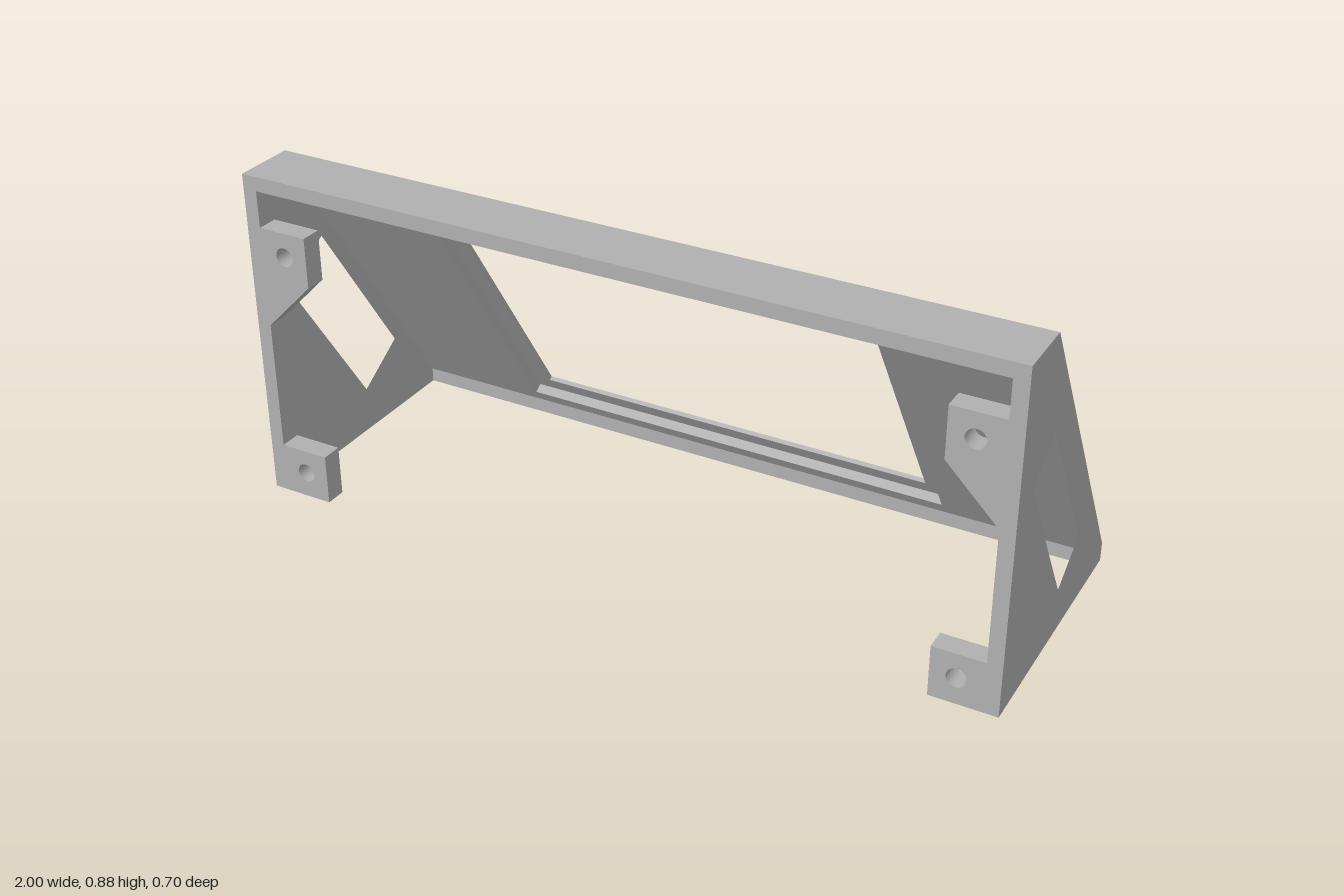
import * as THREE from 'three';

const WALL = 0.038;            // shell thickness
const INNER = 1 - WALL;        // inside face of the side walls
const LIP = 0.012;             // thin edge around the screen window

const grey = new THREE.MeshStandardMaterial({ color: 0xb0b0b0 });
grey.name = 'grey plastic';

const points = (list) => list.map(([x, y]) => new THREE.Vector2(x, y));
const rect = (x, y0, y1) => [[-x, y0], [x, y0], [x, y1], [-x, y1]];

// Extrude an outline with optional polygon holes along local +z
function plate(outline, depth, holes = []) {
  const shape = new THREE.Shape(points(outline));
  for (const h of holes) shape.holes.push(new THREE.Path(points(h)));
  return new THREE.ExtrudeGeometry(shape, { depth, bevelEnabled: false, curveSegments: 24 });
}

// Extrude a [z, y] profile along x, starting at x0
function profile(outline, x0, width, holes = []) {
  const flip = (list) => list.map(([z, y]) => [-z, y]);
  return plate(flip(outline), width, holes.map(flip)).rotateY(Math.PI / 2).translate(x0, 0, 0);
}

export function createModel() {
  const group = new THREE.Group();
  const add = (name, geometry) => {
    const mesh = new THREE.Mesh(geometry, grey);
    mesh.name = name;
    group.add(mesh);
    return mesh;
  };

  // Side walls with a slanted opening
  const side = [[0.35, 0], [0.35, 0.885], [0.185, 0.885], [-0.35, 0.05], [-0.35, 0]];
  const opening = [[0.265, 0.545], [0.122, 0.635], [-0.148, 0.212], [-0.007, 0.122]];
  add('leftSideWall', profile(side, INNER, WALL, [opening]));
  add('rightSideWall', profile(side, -1, WALL, [opening]));

  // Top slab and low back wall, mitred to the sloping panel
  const top = [[0.35, 0.885], [0.185, 0.885], [0.209, 0.847], [0.35, 0.847]];
  add('topWall', profile(top, -INNER, 2 * INNER));
  const back = [[-0.35, 0], [-0.35, 0.05], [-0.312, 0.04], [-0.312, 0]];
  add('backWall', profile(back, -INNER, 2 * INNER));

  // Sloping panel: thin outer skin, then a thicker layer with a wider recess
  const slope = new THREE.Vector3(0, 0.835, 0.535);
  const length = slope.length();
  slope.normalize();
  const across = new THREE.Vector3(1, 0, 0);
  const inward = new THREE.Vector3().crossVectors(across, slope);
  const frame = new THREE.Matrix4().makeBasis(across, slope, inward).setPosition(0, 0.05, -0.35);
  const panel = rect(INNER, 0, length);
  add('slopingPanel', plate(panel, LIP, [rect(0.553, 0.093, 0.888)]).applyMatrix4(frame));
  add('screenRecess', plate(panel, WALL - LIP, [rect(0.6, 0.049, 0.943)])
    .translate(0, 0, LIP).applyMatrix4(frame));

  // Screw tabs in the front corners, mirrored
  const tabs = {
    UpperTab: { outline: [[0.83, 0.75], [0.83, 0.617], [INNER, 0.483], [INNER, 0.75]], holeY: 0.685 },
    LowerTab: { outline: [[0.83, 0], [INNER, 0], [INNER, 0.135], [0.83, 0.135]], holeY: 0.07 },
  };
  for (const [name, { outline, holeY }] of Object.entries(tabs)) {
    for (const s of [1, -1]) {
      const hole = [];
      for (let i = 0; i < 32; i++) {
        const a = (i / 32) * Math.PI * 2;
        hole.push([s * 0.895 + 0.025 * Math.cos(a), holeY + 0.025 * Math.sin(a)]);
      }
      const geometry = plate(outline.map(([x, y]) => [s * x, y]), 0.056, [hole]);
      add((s > 0 ? 'left' : 'right') + name, geometry.translate(0, 0, 0.35 - 0.056));
    }
  }
  return group;
}
